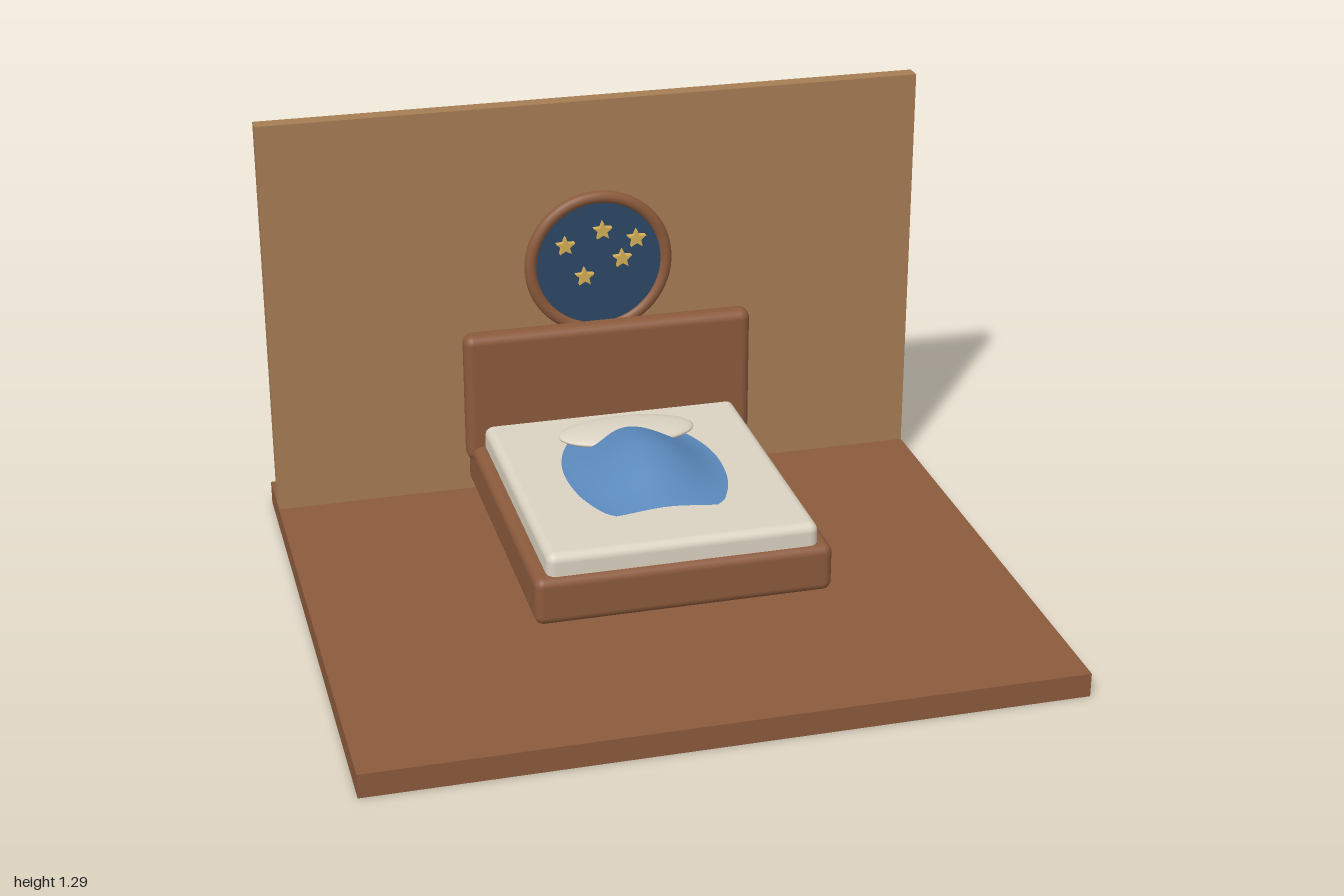
import * as THREE from 'three';
import { RoundedBoxGeometry } from 'three/addons/geometries/RoundedBoxGeometry.js';

const paint = (name, color) => {
  const m = new THREE.MeshStandardMaterial({ color });
  m.name = name;
  return m;
};

// Blanket: bell-shaped cross-sections lofted along z
function blanketGeometry() {
  // z, half width, height above the mattress
  const spine = new THREE.CatmullRomCurve3([
    [0.165, 0.165, 0.012], [0.14, 0.187, 0.022], [0.09, 0.207, 0.04], [0, 0.228, 0.073],
    [-0.11, 0.236, 0.09], [-0.2, 0.228, 0.077], [-0.3, 0.198, 0.052], [-0.38, 0.152, 0.025],
    [-0.44, 0.095, 0.009], [-0.465, 0.058, 0.005], [-0.48, 0.004, 0.002],
  ].map((p) => new THREE.Vector3(...p)));
  const rows = 50, cols = 32, pos = [], idx = [];
  for (let i = 0; i <= rows; i++) {
    const s = spine.getPoint(i / rows);
    for (let j = 0; j <= cols; j++) {
      const u = (j / cols) * 2 - 1;
      const bell = Math.pow(Math.max(0, Math.cos((u * Math.PI) / 2)), 1.8);
      pos.push(u * s.y, 0.3475 + s.z * bell, s.x);
    }
  }
  for (let i = 0; i < rows; i++) {
    for (let j = 0; j < cols; j++) {
      const a = i * (cols + 1) + j, b = a + cols + 1;
      idx.push(a, a + 1, b, a + 1, b + 1, b);
    }
  }
  const g = new THREE.BufferGeometry();
  g.setAttribute('position', new THREE.Float32BufferAttribute(pos, 3));
  g.setIndex(idx);
  g.computeVertexNormals();
  return g;
}

function starGeometry(outer, inner, depth) {
  const pts = [];
  for (let i = 0; i < 10; i++) {
    const r = i % 2 ? inner : outer, a = Math.PI / 2 + (i * Math.PI) / 5;
    pts.push(new THREE.Vector2(r * Math.cos(a), r * Math.sin(a)));
  }
  return new THREE.ExtrudeGeometry(new THREE.Shape(pts), { depth, bevelEnabled: false });
}

export function createModel() {
  const group = new THREE.Group();
  const wood = paint('wood', 0x8b5a3c);
  const wall = paint('wall', 0xa67d54);
  const linen = paint('linen', 0xdad2c1);
  const blue = paint('blanketBlue', 0x5b89bc);
  blue.side = THREE.DoubleSide;
  const night = paint('nightBlue', 0x2c4865);
  const gold = paint('gold', 0xd4ae56);

  const add = (name, geometry, material, x = 0, y = 0, z = 0) => {
    const mesh = new THREE.Mesh(geometry, material);
    mesh.name = name;
    mesh.position.set(x, y, z);
    group.add(mesh);
    return mesh;
  };
  const rounded = (name, material, w, y0, y1, z0, z1, r) =>
    add(name, new RoundedBoxGeometry(w, y1 - y0, z1 - z0, 4, r), material, 0, (y0 + y1) / 2, (z0 + z1) / 2);

  // Room
  add('floor', new THREE.BoxGeometry(2, 0.07, 1.736), wood, 0, 0.035, 0);
  add('backWall', new THREE.BoxGeometry(2, 1.22, 0.05), wall, 0, 0.68, -0.697);

  // Bed
  rounded('bedFrame', wood, 0.85, 0.143, 0.285, -0.595, 0.373, 0.026);
  rounded('headboard', wood, 0.88, 0.235, 0.64, -0.575, -0.505, 0.028);
  rounded('mattress', linen, 0.775, 0.25, 0.348, -0.55, 0.355, 0.026);
  add('blanket', blanketGeometry(), blue);
  add('pillow', new THREE.SphereGeometry(1, 40, 24), linen, 0, 0.379, -0.311).scale.set(0.205, 0.024, 0.098);

  // Round window with stars
  add('windowFrame', new THREE.TorusGeometry(0.209, 0.0185, 16, 64), wood, 0, 0.787, -0.648);
  add('nightSky', new THREE.CylinderGeometry(0.205, 0.205, 0.012, 64), night, 0, 0.787, -0.648).rotation.x = Math.PI / 2;
  const star = starGeometry(0.03, 0.0135, 0.02);
  [[-0.105, 0.855], [0.01, 0.894], [0.114, 0.86], [0.07, 0.8], [-0.047, 0.752]]
    .forEach(([x, y]) => add('star', star, gold, x, y, -0.643));

  return group;
}
